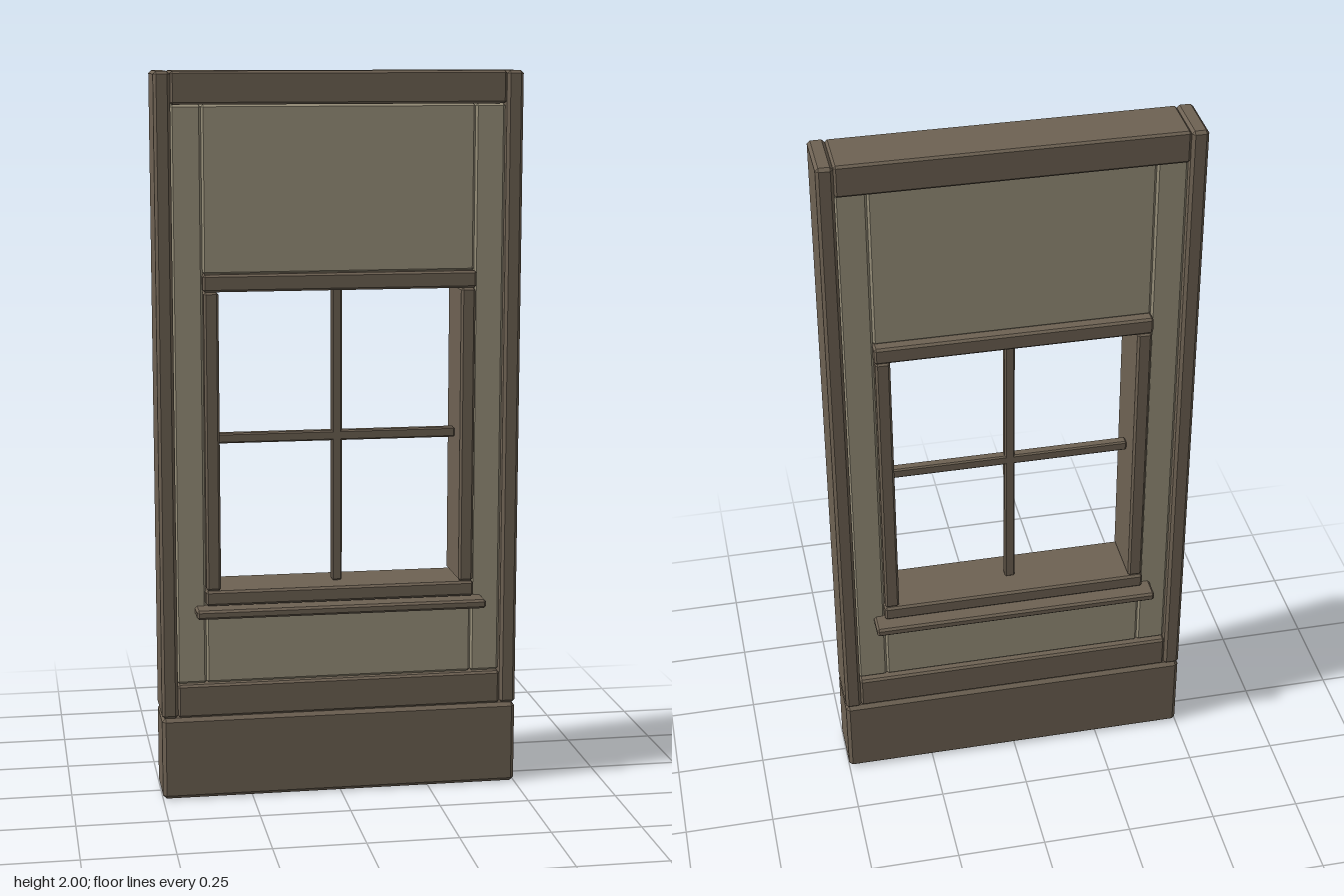
import * as THREE from 'three';
import { ConvexGeometry } from 'three/addons/geometries/ConvexGeometry.js';

// Box with chamfered edges, given by its bounds in x and y and its half depth in z
function chamferBox(x0, x1, y0, y1, hz, c) {
  const hx = (x1 - x0) / 2, hy = (y1 - y0) / 2;
  const points = [];
  for (const sx of [-1, 1]) for (const sy of [-1, 1]) for (const sz of [-1, 1]) {
    points.push(
      new THREE.Vector3(sx * hx, sy * (hy - c), sz * (hz - c)),
      new THREE.Vector3(sx * (hx - c), sy * hy, sz * (hz - c)),
      new THREE.Vector3(sx * (hx - c), sy * (hy - c), sz * hz)
    );
  }
  return new ConvexGeometry(points).translate((x0 + x1) / 2, (y0 + y1) / 2, 0);
}

export function createModel() {
  const group = new THREE.Group();
  group.name = 'windowWall';

  const wood = new THREE.MeshStandardMaterial({ color: 0x6e6253 });
  wood.name = 'brownWood';
  const plaster = new THREE.MeshStandardMaterial({ color: 0x9a927c });
  plaster.name = 'tanPanel';

  const add = (name, material, x0, x1, y0, y1, hz, c = 0.006) => {
    const mesh = new THREE.Mesh(chamferBox(x0, x1, y0, y1, hz, c), material);
    mesh.name = name;
    group.add(mesh);
  };
  const addCentred = (name, material, hx, ...rest) => add(name, material, -hx, hx, ...rest);
  const addPair = (name, material, x0, x1, ...rest) => {
    add(name + 'Left', material, x0, x1, ...rest);
    add(name + 'Right', material, -x1, -x0, ...rest);
  };

  // Base block and outer wall frame
  addCentred('baseBlock', wood, 0.5, 0, 0.232, 0.082, 0.01);
  addPair('post', wood, 0.455, 0.5, 0.232, 2, 0.082, 0.008);
  addCentred('topBeam', wood, 0.455, 1.912, 2, 0.077);
  addCentred('bottomBeam', wood, 0.455, 0.232, 0.325, 0.077);

  // Recessed wall panels
  addPair('sidePanel', plaster, 0.373, 0.455, 0.325, 1.912, 0.06);
  addCentred('upperPanel', plaster, 0.373, 1.46, 1.912, 0.06);
  addCentred('lowerPanel', plaster, 0.373, 0.325, 0.555, 0.06);

  // Window frame and sill
  addPair('windowJamb', wood, 0.333, 0.373, 0.592, 1.415, 0.084);
  addCentred('windowHead', wood, 0.375, 1.415, 1.462, 0.087);
  addCentred('windowBottomRail', wood, 0.375, 0.55, 0.592, 0.087);
  addCentred('windowSill', wood, 0.404, 0.521, 0.546, 0.122);

  // Crossed glazing bars
  addCentred('verticalBar', wood, 0.014, 0.592, 1.415, 0.014, 0.004);
  addCentred('horizontalBar', wood, 0.333, 0.99, 1.018, 0.014, 0.004);

  return group;
}
